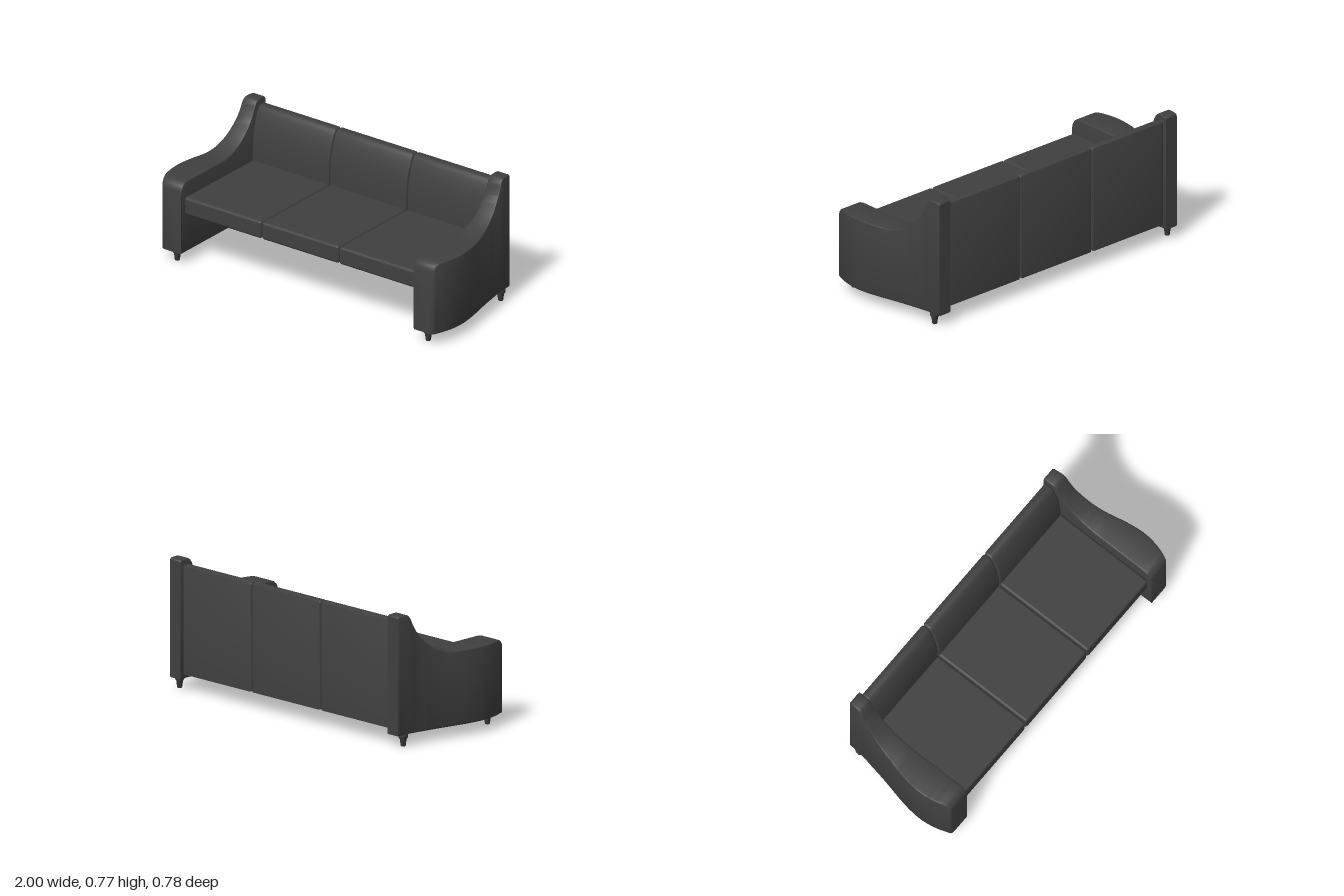
import * as THREE from 'three';
import { toCreasedNormals } from 'three/addons/utils/BufferGeometryUtils.js';
import { RoundedBoxGeometry } from 'three/addons/geometries/RoundedBoxGeometry.js';

const INNER = 0.82, ARM_BOTTOM = 0.07;

// Arm stations from back to front: outer x, top y, z
const ARM_STATIONS = [
  [0.903, 0.755, -0.39], [0.905, 0.763, -0.383], [0.907, 0.765, -0.36], [0.91, 0.765, -0.33],
  [0.911, 0.76, -0.315], [0.913, 0.743, -0.3], [0.916, 0.7, -0.28], [0.92, 0.65, -0.25],
  [0.93, 0.592, -0.2], [0.939, 0.553, -0.15], [0.949, 0.527, -0.1], [0.96, 0.511, -0.05],
  [0.972, 0.505, 0], [0.983, 0.505, 0.05], [0.992, 0.505, 0.1], [1, 0.505, 0.18],
  [0.996, 0.505, 0.25], [0.981, 0.505, 0.32], [0.974, 0.503, 0.34], [0.967, 0.497, 0.36],
  [0.962, 0.484, 0.375], [0.957, 0.466, 0.385], [0.945, 0.44, 0.39],
];

// Rounded rectangle cross-section, anticlockwise seen from the front
function armRing(outer, top, side) {
  const r = 0.008, ring = [];
  const corners = [
    [outer - r, ARM_BOTTOM + r, -1], [outer - r, top - r, 0],
    [INNER + r, top - r, 1], [INNER + r, ARM_BOTTOM + r, 2],
  ];
  for (const [x, y, quarter] of corners) {
    for (let k = 0; k <= 3; k++) {
      const a = (quarter + k / 3) * Math.PI / 2;
      ring.push([side * (x + r * Math.cos(a)), y + r * Math.sin(a)]);
    }
  }
  return side > 0 ? ring : ring.reverse();
}

// Arm lofted through its cross-sections, closed at both ends
function armGeometry(side) {
  const curve = new THREE.CatmullRomCurve3(ARM_STATIONS.map((p) => new THREE.Vector3(...p)));
  const stations = curve.getPoints((ARM_STATIONS.length - 1) * 3);
  const positions = [], index = [];
  const n = 16, last = stations.length - 1;
  for (const s of stations) {
    for (const [x, y] of armRing(s.x, s.y, side)) positions.push(x, y, s.z);
  }
  for (let i = 0; i < last; i++) {
    for (let j = 0; j < n; j++) {
      const a = i * n + j, b = i * n + (j + 1) % n;
      index.push(a, b, b + n, a, b + n, a + n);
    }
  }
  for (let j = 1; j < n - 1; j++) {
    index.push(0, j + 1, j);
    index.push(last * n, last * n + j, last * n + j + 1);
  }
  const geo = new THREE.BufferGeometry();
  geo.setAttribute('position', new THREE.Float32BufferAttribute(positions, 3));
  geo.setIndex(index);
  return toCreasedNormals(geo, 0.6);
}

// Backrest: upright slab whose front edge rolls back towards the top
function backGeometry(width) {
  const bevel = 0.012;
  const shape = new THREE.Shape();
  shape.moveTo(-0.375, 0.1);
  shape.lineTo(-0.26, 0.1);
  shape.lineTo(-0.26, 0.46);
  shape.bezierCurveTo(-0.262, 0.58, -0.285, 0.67, -0.315, 0.72);
  shape.quadraticCurveTo(-0.325, 0.735, -0.342, 0.735);
  shape.lineTo(-0.36, 0.735);
  shape.quadraticCurveTo(-0.375, 0.735, -0.375, 0.72);
  shape.closePath();
  const geo = new THREE.ExtrudeGeometry(shape, {
    depth: width - 2 * bevel, curveSegments: 12,
    bevelSize: bevel, bevelThickness: bevel, bevelOffset: -bevel, bevelSegments: 4,
  });
  geo.translate(0, 0, -(width / 2 - bevel));
  geo.rotateY(-Math.PI / 2);
  return toCreasedNormals(geo, 0.6);
}

export function createModel() {
  const sofa = new THREE.Group();
  sofa.name = 'sofa';
  const fabric = new THREE.MeshStandardMaterial({ color: 0x404040 });

  const add = (name, geometry, x = 0, y = 0, z = 0) => {
    const mesh = new THREE.Mesh(geometry, fabric);
    mesh.name = name;
    mesh.position.set(x, y, z);
    sofa.add(mesh);
  };

  // Three seat cushions, each with its own backrest
  const pitch = 0.546, width = 0.543;
  const seat = new RoundedBoxGeometry(width, 0.107, 0.64, 4, 0.016);
  const back = backGeometry(width);
  ['right', 'middle', 'left'].forEach((place, i) => {
    const x = (i - 1) * pitch;
    add(place + 'SeatCushion', seat, x, 0.3635, 0.05);
    add(place + 'Backrest', back, x);
  });

  // Turned foot
  const footProfile = [
    [0, 0], [0.012, 0], [0.0145, 0.004], [0.019, 0.04], [0.027, 0.053], [0.028, 0.056], [0.028, 0.075], [0, 0.075],
  ].map(([r, y]) => new THREE.Vector2(r, y));
  const foot = toCreasedNormals(new THREE.LatheGeometry(footProfile, 24), 0.5);

  // Mirrored arms with a front and a back foot
  for (const side of [1, -1]) {
    const label = side > 0 ? 'left' : 'right';
    add(label + 'Arm', armGeometry(side));
    add(label + 'FrontFoot', foot, side * 0.885, 0, 0.34);
    add(label + 'BackFoot', foot, side * 0.885, 0, -0.33);
  }
  return sofa;
}
